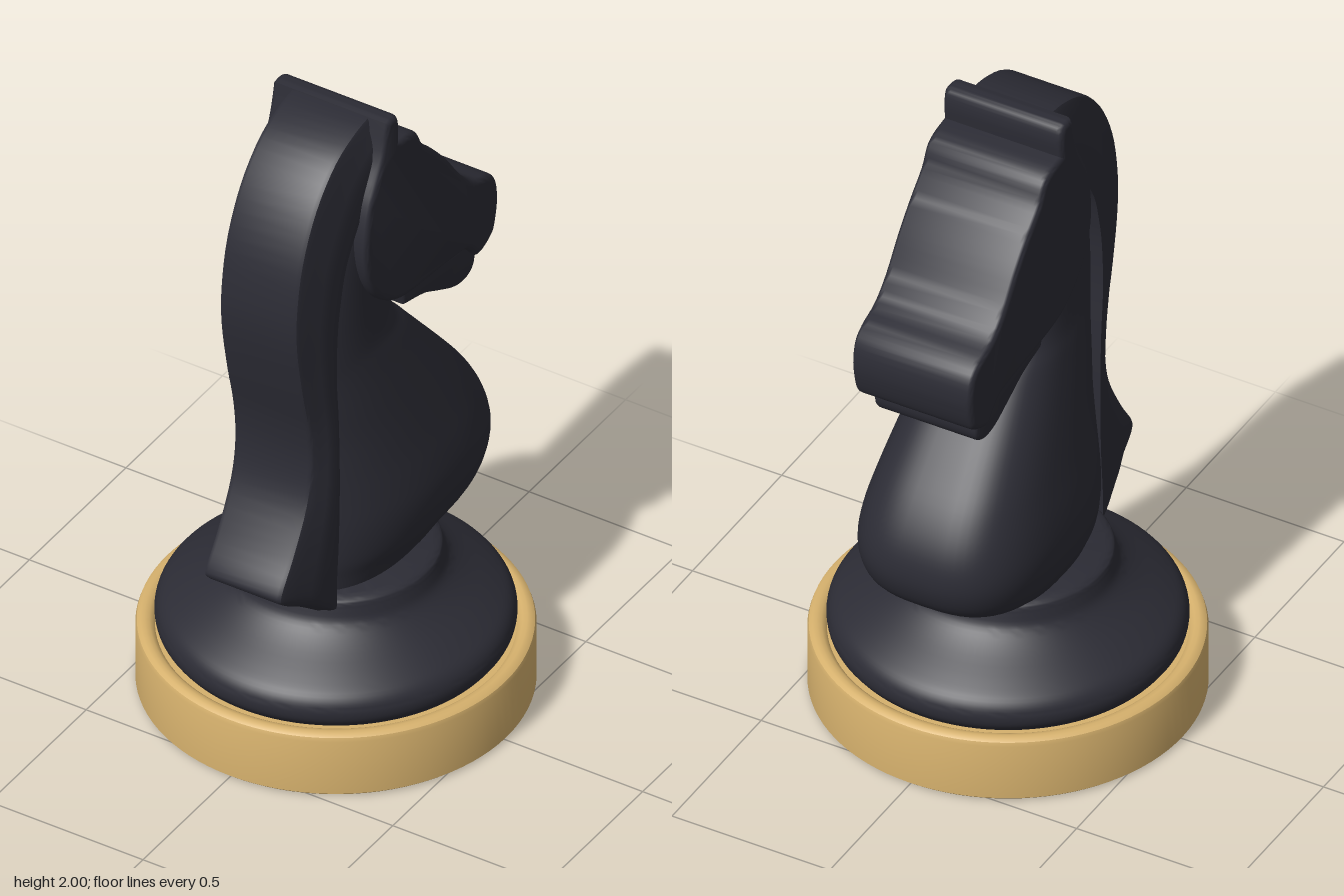
import * as THREE from 'three';
import { mergeVertices, toCreasedNormals } from 'three/addons/utils/BufferGeometryUtils.js';

const V2 = (p) => new THREE.Vector2(p[0], p[1]);

// Smooth curve through a few points, sampled.
const smooth = (pts, n = 4) => new THREE.SplineCurve(pts.map(V2)).getPoints((pts.length - 1) * n);

// Slab with a side outline in (z, y), centred on x = 0, with rounded edges kept inside the outline.
function sideSlab(runs, halfWidth, bevel) {
  const points = runs.flatMap((run) => smooth(run).slice(0, -1));
  const depth = 2 * (halfWidth - bevel);
  const geo = new THREE.ExtrudeGeometry(new THREE.Shape(points), {
    depth, bevelEnabled: true, bevelThickness: bevel, bevelSize: bevel, bevelOffset: -bevel, bevelSegments: 4,
  });
  geo.translate(0, 0, -depth / 2);
  geo.rotateY(-Math.PI / 2);
  return toCreasedNormals(geo, 0.7);
}

// Skin over a stack of equal rings of [x, y, z], closed at both ends.
function loft(rings, crease) {
  const centre = (ring) => {
    const c = [0, 1, 2].map((k) => ring.reduce((sum, p) => sum + p[k], 0) / ring.length);
    return ring.map(() => c);
  };
  const all = [centre(rings[0]), ...rings, centre(rings[rings.length - 1])];
  const sides = rings[0].length, index = [];
  for (let i = 0; i < all.length - 1; i++) {
    for (let j = 0; j < sides; j++) {
      const a = i * sides + j, b = i * sides + ((j + 1) % sides);
      index.push(a, a + sides, b, b, a + sides, b + sides);
    }
  }
  const geo = new THREE.BufferGeometry();
  geo.setAttribute('position', new THREE.Float32BufferAttribute(all.flat(2), 3));
  geo.setIndex(index);
  return toCreasedNormals(mergeVertices(geo), crease);
}

// Neck and chest: rounded rings stacked in y; rows are [y, front z, back z, half width].
function neckGeometry(rows) {
  const front = smooth(rows.map((r) => [r[1], r[0]]));
  const back = smooth(rows.map((r) => [r[2], r[0]]));
  const width = smooth(rows.map((r) => [r[3], r[0]]));
  const sides = 64;
  const rings = front.map((f, i) => {
    const mid = f.x + (back[i].x - f.x) * 0.47;
    return Array.from({ length: sides }, (_, j) => {
      const a = (j / sides) * Math.PI * 2, c = Math.cos(a), s = Math.sin(a);
      // squarer towards the chest, rounder towards the mane
      const k = s < 0 ? 0.7 : 0.9;
      return [Math.sign(c) * Math.abs(c) ** k * width[i].x, f.y,
        mid + Math.abs(s) ** k * (s < 0 ? f.x - mid : back[i].x - mid)];
    });
  });
  return loft(rings, 0.6);
}

// Mane: a tapering band; rows are [outer z, outer y, inner z, inner y] from tail to crown.
function maneGeometry(rows) {
  const outer = smooth(rows.map((r) => [r[0], r[1]]));
  const inner = smooth(rows.map((r) => [r[2], r[3]]));
  const half = [[0, 0.16], [0.3, 0.158], [0.5, 0.15], [0.72, 0.135], [0.92, 0.128], [0.98, 0.123], [1, 0.112]];
  const section = [...half, ...half.map(([u, x]) => [u, -x]).reverse()];
  const rings = outer.map((o, i) => section.map(([u, x]) => {
    const p = inner[i].clone().lerp(o, u);
    return [x, p.y, p.x];
  }));
  return loft(rings, 0.7);
}

const turned = (pts) => toCreasedNormals(new THREE.LatheGeometry(pts.map(V2), 96), 0.6);

export function createModel() {
  const group = new THREE.Group();
  group.name = 'chessKnight';
  const wood = new THREE.MeshStandardMaterial({ name: 'light wood', color: 0xd6b16d });
  const dark = new THREE.MeshStandardMaterial({ name: 'charcoal', color: 0x2c2c35 });
  const add = (name, geo, mat) => {
    const mesh = new THREE.Mesh(geo, mat);
    mesh.name = name;
    group.add(mesh);
  };

  // Wooden disc with a rounded lip
  add('base', turned([[0, 0], [0.545, 0], [0.554, 0.008], [0.554, 0.185], [0.55, 0.197], [0.54, 0.204],
    [0.528, 0.206], [0.515, 0.203], [0.506, 0.197], [0.5, 0.188], [0, 0.188]]), wood);

  // Turned foot
  const foot = smooth([[0.48, 0.188], [0.498, 0.215], [0.5, 0.25], [0.483, 0.285], [0.44, 0.318],
    [0.36, 0.37], [0.315, 0.41], [0.3, 0.45], [0.292, 0.473], [0.265, 0.484]]).map((p) => [p.x, p.y]);
  add('foot', turned([...foot, [0, 0.484]]), dark);

  // Neck and chest
  add('neck', neckGeometry([
    [0.46, -0.28, 0.27, 0.2],
    [0.52, -0.4, 0.27, 0.23],
    [0.575, -0.485, 0.27, 0.262],
    [0.64, -0.522, 0.27, 0.278],
    [0.71, -0.53, 0.27, 0.281],
    [0.79, -0.51, 0.27, 0.27],
    [0.88, -0.46, 0.27, 0.251],
    [0.98, -0.38, 0.27, 0.23],
    [1.09, -0.285, 0.28, 0.207],
    [1.2, -0.19, 0.29, 0.184],
    [1.28, -0.125, 0.3, 0.17],
    [1.45, -0.1, 0.3, 0.162],
    [1.65, -0.08, 0.25, 0.158],
    [1.8, -0.06, 0.16, 0.155],
    [1.91, -0.02, 0.06, 0.14],
  ]), dark);

  // Mane, sweeping from the flicked tail up to the crown
  add('mane', maneGeometry([
    [0.295, 0.462, 0.25, 0.455],
    [0.39, 0.535, 0.25, 0.465],
    [0.474, 0.592, 0.25, 0.5],
    [0.48, 0.63, 0.248, 0.56],
    [0.42, 0.72, 0.24, 0.67],
    [0.35, 0.85, 0.235, 0.81],
    [0.325, 0.97, 0.235, 0.95],
    [0.335, 1.1, 0.24, 1.1],
    [0.37, 1.25, 0.25, 1.25],
    [0.4, 1.42, 0.245, 1.39],
    [0.4, 1.55, 0.23, 1.49],
    [0.37, 1.7, 0.2, 1.6],
    [0.3, 1.84, 0.14, 1.7],
    [0.2, 1.94, 0.08, 1.78],
    [0.09, 1.985, 0.03, 1.84],
    [0.0, 1.996, -0.01, 1.87],
  ]), dark);

  // Head with ear ridge, brow, muzzle and cheek
  add('head', sideSlab([
    [[0.03, 1.996], [0.0, 2.0], [-0.025, 1.99], [-0.035, 1.95], [-0.033, 1.9]],
    [[-0.033, 1.9], [-0.09, 1.89], [-0.13, 1.865], [-0.16, 1.81], [-0.22, 1.75], [-0.29, 1.67], [-0.36, 1.575],
      [-0.42, 1.52], [-0.49, 1.492], [-0.533, 1.455], [-0.547, 1.38], [-0.53, 1.295], [-0.505, 1.265],
      [-0.46, 1.245], [-0.435, 1.245]],
    [[-0.435, 1.245], [-0.405, 1.28], [-0.35, 1.308], [-0.1, 1.335], [0.0, 1.365], [0.08, 1.43], [0.13, 1.52],
      [0.145, 1.63], [0.12, 1.76], [0.06, 1.88], [0.03, 1.996]],
  ], 0.19, 0.02), dark);

  // Lower jaw
  add('jaw', sideSlab([
    [[-0.44, 1.31], [-0.465, 1.245], [-0.458, 1.195], [-0.42, 1.17], [-0.36, 1.175], [-0.28, 1.213],
      [-0.2, 1.253], [-0.1, 1.28]],
    [[-0.1, 1.28], [-0.06, 1.4]],
    [[-0.06, 1.4], [-0.3, 1.38], [-0.44, 1.31]],
  ], 0.165, 0.015), dark);

  return group;
}
